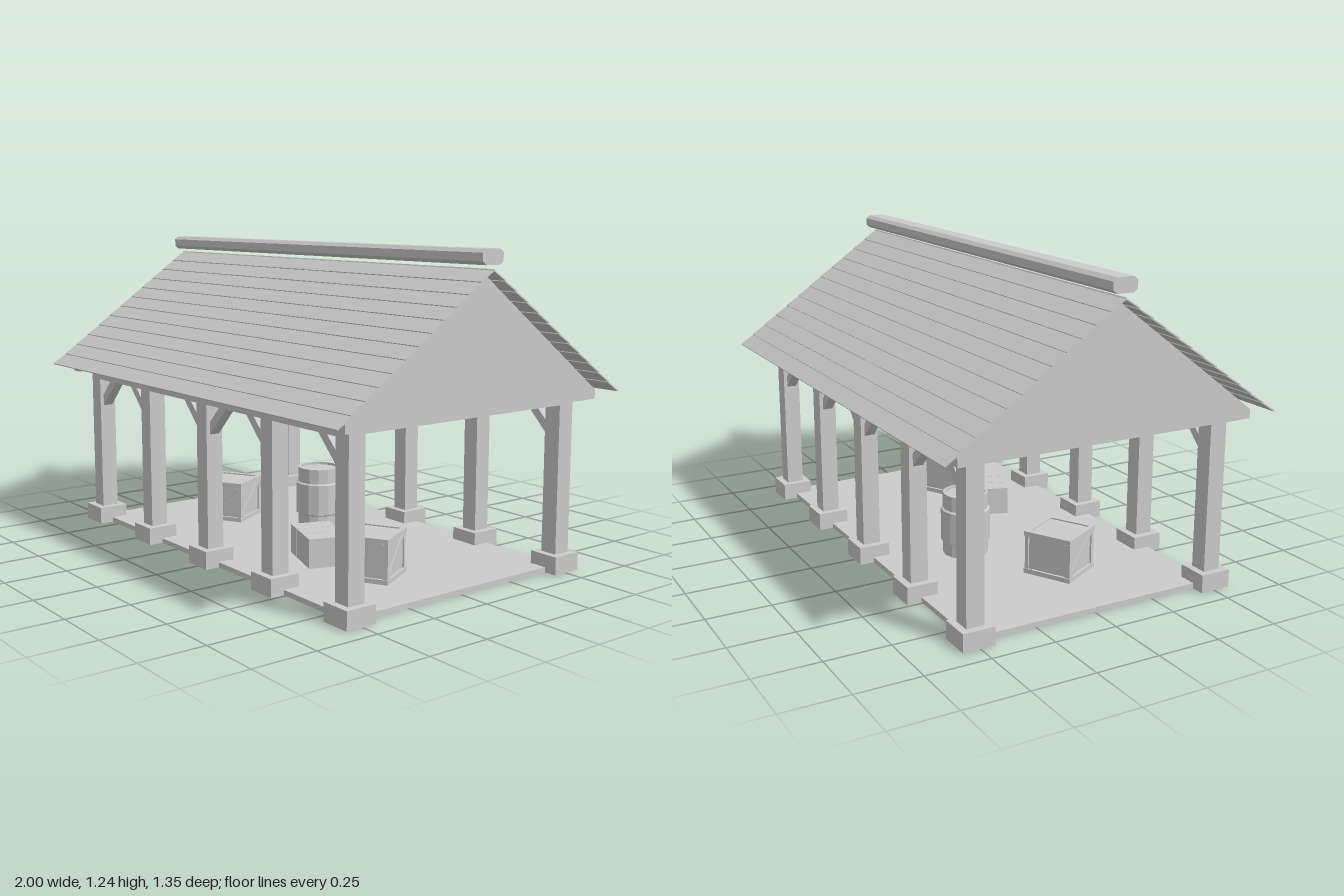
import * as THREE from 'three';

const mat = new THREE.MeshStandardMaterial({ color: 0xcccccc, flatShading: true });

function add(parent, name, geo, x = 0, y = 0, z = 0) {
  const m = new THREE.Mesh(geo, mat);
  m.name = name;
  m.position.set(x, y, z);
  parent.add(m);
  return m;
}
const box = (parent, name, w, h, d, x, y, z) =>
  add(parent, name, new THREE.BoxGeometry(w, h, d), x, y, z);

// Extrude a (z, y) outline along x, centred on x
function extrudeX(parent, name, pts, length, x) {
  const shape = new THREE.Shape(pts.map(p => new THREE.Vector2(p[0], p[1])));
  const geo = new THREE.ExtrudeGeometry(shape, { depth: length, bevelEnabled: false });
  geo.translate(0, 0, -length / 2);
  geo.rotateY(Math.PI / 2);
  return add(parent, name, geo, x);
}

// Square crate with corner posts, rims and a diagonal brace on each side
function crate(x, z, turn) {
  const g = new THREE.Group();
  g.name = 'crate';
  const s = 0.2, h = 0.17, t = 0.018;
  box(g, 'crateBody', s - 0.02, h - 0.01, s - 0.02, 0, h / 2, 0);
  for (let i = 0; i < 4; i++) {
    const side = new THREE.Group();
    side.name = 'crateSide';
    side.rotation.y = i * Math.PI / 2;
    const f = s / 2 - 0.009;
    for (const y of [t / 2, h - t / 2]) box(side, 'crateRim', s, t, t, 0, y, f);
    box(side, 'crateCorner', t, h - 0.02, t * 0.8, f - 0.002, h / 2, f - 0.002);
    const b = box(side, 'crateBrace', 0.2, t, 0.01, 0, h / 2, f);
    b.rotation.z = 0.69;
    g.add(side);
  }
  g.position.set(x, 0.02, z);
  g.rotation.y = turn;
  return g;
}

export function createModel() {
  const model = new THREE.Group();
  model.name = 'openShed';
  const postX = [-0.86, -0.43, 0, 0.43, 0.86], postZ = 0.505;

  box(model, 'floor', 1.74, 0.02, 1.02, 0, 0.01, 0);

  // Posts on stone bases, wall plates and knee braces along both long sides
  const braceSides = [[1], [-1], [-1, 1], [-1], [-1]];
  for (const sz of [-1, 1]) {
    const z = sz * postZ;
    postX.forEach((x, i) => {
      box(model, 'postBase', 0.125, 0.07, 0.125, x, 0.035, z);
      box(model, 'post', 0.07, 0.6, 0.07, x, 0.36, z);
      for (const d of braceSides[i]) {
        const b = box(model, 'kneeBrace', 0.165, 0.034, 0.04, x + d * 0.083, 0.59, z);
        b.rotation.z = d * Math.PI / 4;
      }
    });
    box(model, 'wallPlate', 1.79, 0.06, 0.07, 0, 0.665, z);
  }

  // Beams across the shed
  for (const x of postX) box(model, 'tieBeam', 0.07, 0.055, 1.08, x, 0.673, 0);

  // Gable walls
  const gable = [[-0.6, 0.665], [0.6, 0.665], [0.6, 0.7], [0, 1.155], [-0.6, 0.7]];
  for (const s of [-1, 1]) extrudeX(model, 'gable', gable, 0.06, s * 0.92);

  // Overlapping roof boards, the same on both slopes
  const rows = 12, run = 0.668, top = 1.168, eave = 0.695;
  const pitch = Math.atan2(top - eave, run);
  const len = Math.hypot(run, top - eave) / rows;
  for (const turn of [0, Math.PI]) {
    const slope = new THREE.Group();
    slope.name = 'roofSlope';
    for (let i = 0; i < rows; i++) {
      const t = (i + 0.5) / rows;
      const p = box(slope, 'roofBoard', 2, 0.005, len + 0.006,
        0, top + (eave - top) * t, run * t);
      p.rotation.x = pitch - 0.05;
    }
    slope.rotation.y = turn;
    model.add(slope);
  }

  // Chamfered ridge beam
  const cap = [[-0.033, 1.184], [0.033, 1.184], [0.049, 1.197], [0.049, 1.226],
    [0.033, 1.239], [-0.033, 1.239], [-0.049, 1.226], [-0.049, 1.197]];
  extrudeX(model, 'ridgeCap', cap, 1.99, 0);

  // Barrel with a wide middle
  const profile = [[0, 0.02], [0.09, 0.02], [0.09, 0.07], [0.098, 0.075],
    [0.098, 0.205], [0.09, 0.21], [0.09, 0.272], [0.08, 0.272], [0.08, 0.262], [0, 0.262]];
  add(model, 'barrel', new THREE.LatheGeometry(
    profile.map(p => new THREE.Vector2(p[0], p[1])), 14), -0.172, 0, -0.157);

  // Goods on the floor
  model.add(crate(-0.515, 0.07, 0.5), crate(0.545, 0.143, 0.5));
  const chest = new THREE.Group();
  chest.name = 'lowChest';
  for (const i of [-1, 0, 1]) box(chest, 'chestSection', 0.078, 0.135, 0.16, i * 0.081, 0.0675, 0);
  box(chest, 'chestCore', 0.23, 0.12, 0.15, 0, 0.065, 0);
  chest.position.set(0.258, 0, 0.17);
  chest.rotation.y = -0.34;
  model.add(chest);

  return model;
}
